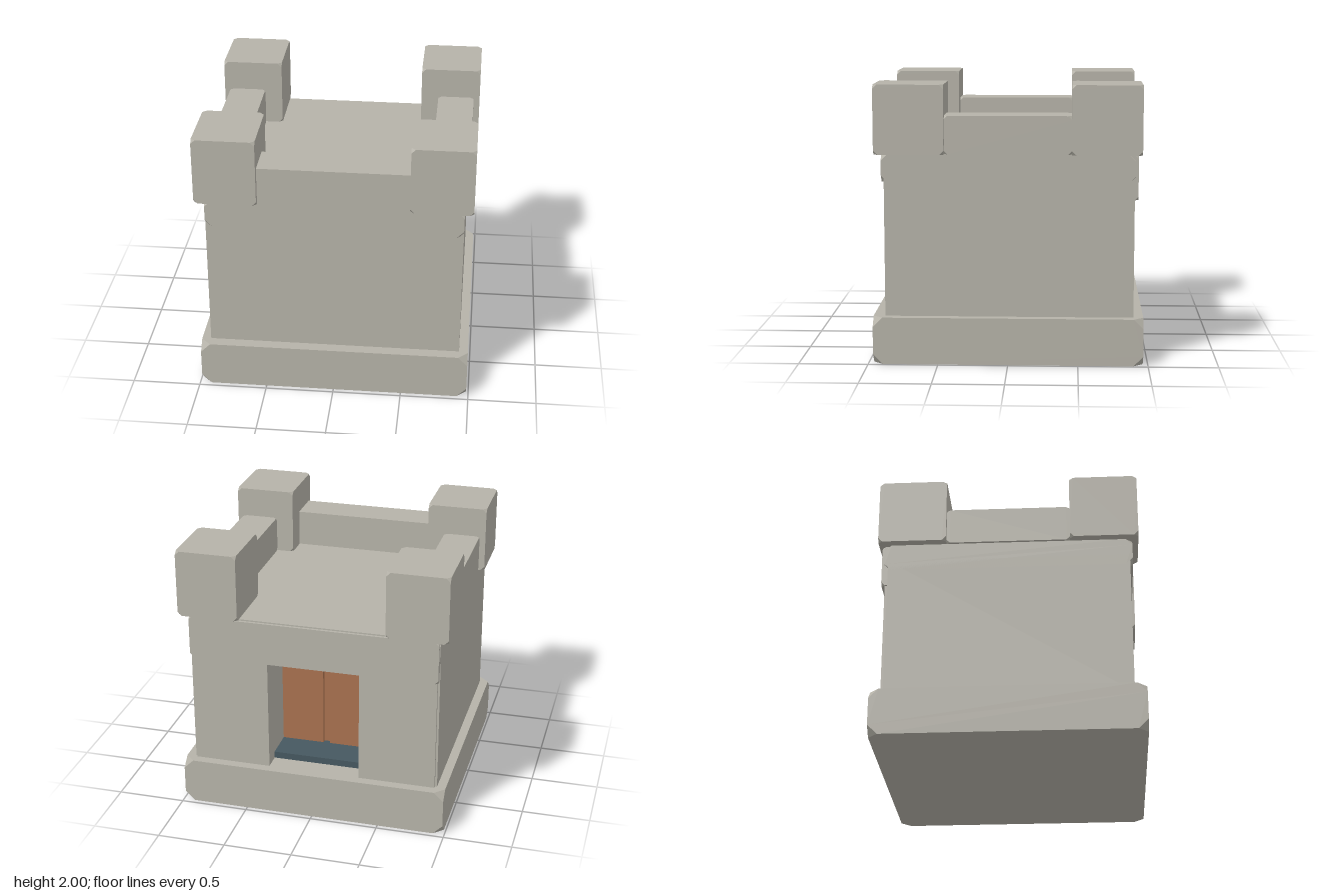
import * as THREE from 'three';
import { ConvexGeometry } from 'three/addons/geometries/ConvexGeometry.js';

const material = (name, color) => {
  const m = new THREE.MeshStandardMaterial({ color });
  m.name = name;
  return m;
};

// Block between two extremes per axis, with its eight corners cut off by c
function block(x0, x1, y0, y1, z0, z1, c) {
  if (!c) {
    return new THREE.BoxGeometry(x1 - x0, y1 - y0, z1 - z0)
      .translate((x0 + x1) / 2, (y0 + y1) / 2, (z0 + z1) / 2);
  }
  const points = [];
  for (const [x, sx] of [[x0, 1], [x1, -1]])
    for (const [y, sy] of [[y0, 1], [y1, -1]])
      for (const [z, sz] of [[z0, 1], [z1, -1]])
        points.push(
          new THREE.Vector3(x + sx * c, y, z),
          new THREE.Vector3(x, y + sy * c, z),
          new THREE.Vector3(x, y, z + sz * c)
        );
  return new ConvexGeometry(points);
}

export function createModel() {
  const group = new THREE.Group();
  const stone = material('stone', 0xb5b2a8);
  const wood = material('wood', 0xa8714f);
  const slate = material('slate', 0x465860);

  const add = (name, geometry, mat = stone) => {
    const mesh = new THREE.Mesh(geometry, mat);
    mesh.name = name;
    group.add(mesh);
  };

  // Plinth and roof slab
  add('base', block(-0.985, 0.985, 0, 0.34, -0.965, 0.965, 0.07));
  add('roofSlab', block(-0.92, 0.92, 1.305, 1.51, -0.9, 0.9, 0.05));

  // Walls: U-shaped plan, open at the back (shape y is -z)
  const plan = new THREE.Shape([
    [-0.92, -0.88], [0.92, -0.88], [0.92, 0.875], [0.8, 0.875],
    [0.8, 0.46], [-0.8, 0.46], [-0.8, 0.875], [-0.92, 0.875],
  ].map(([x, y]) => new THREE.Vector2(x, y)));
  add('walls', new THREE.ExtrudeGeometry(plan, { depth: 1.08, bevelEnabled: false })
    .rotateX(-Math.PI / 2).translate(0, 0.3, 0));

  // Entrance at the back
  add('lintel', block(-0.915, 0.915, 1.185, 1.5, -0.92, -0.47, 0.025));
  add('doorPanel', block(-0.34, 0.34, 0.34, 1.2, -0.5, -0.45), wood);
  add('doorStep', block(-0.34, 0.34, 0.32, 0.39, -0.765, -0.48), slate);

  // Front parapet
  add('frontParapet', block(-0.55, 0.55, 1.4, 1.78, 0.63, 0.9, 0.01));

  // Mirrored parts
  for (const s of [-1, 1]) {
    const side = s > 0 ? 'left' : 'right';
    const span = (a, b) => (s > 0 ? [a, b] : [-b, -a]);
    add(side + 'Pier', block(...span(0.34, 0.905), 0.3, 1.25, -0.895, -0.45));
    add(side + 'DoorLeaf', block(...span(0.025, 0.34), 0.35, 1.2, -0.53, -0.48), wood);
    add(side + 'Parapet', block(...span(0.67, 0.94), 1.508, 1.78, -0.455, 0.455, 0.03));
    add(side + 'FrontTower', block(...span(0.54, 0.985), 1.508, 2, 0.45, 0.945, 0.03));
    add(side + 'BackTower', block(...span(0.54, 0.985), 1.508, 2, -0.945, -0.45, 0.03));
  }
  return group;
}
